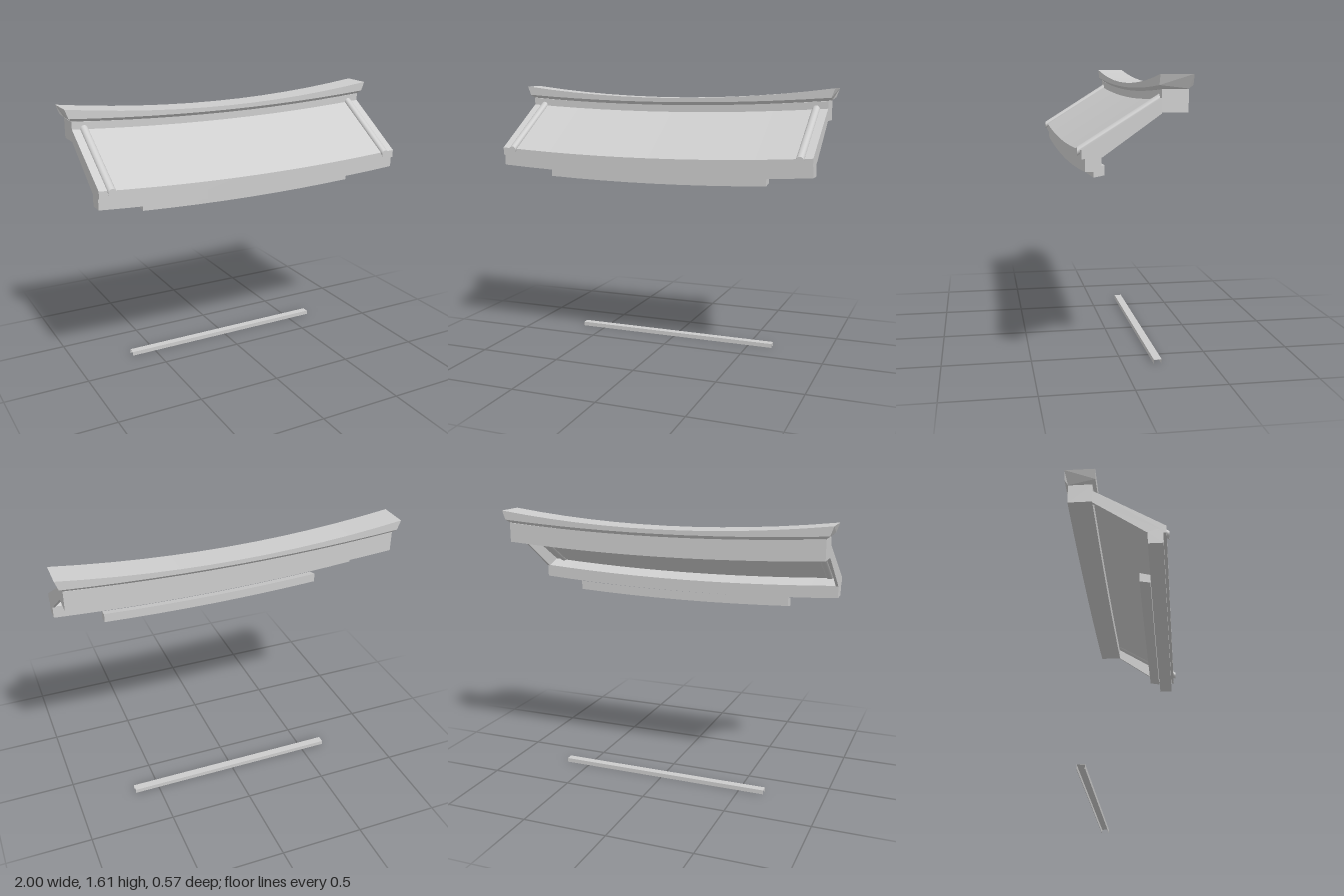
import * as THREE from 'three';

const SAG = 0.036; // rise of the ends, as a multiple of x squared
const SLOPE = 0.625; // pitch of the roof panel
const roofY = z => 1.205 - SLOPE * (z - 0.27);

// Extrudes a [z, y] section from x0 to x1, then bows it upward at the ends
function sweep(section, x0, x1, steps, bend = (x, y) => [x, y + SAG * x * x]) {
  const shape = new THREE.Shape(section.map(([z, y]) => new THREE.Vector2(-z, y)));
  const geo = new THREE.ExtrudeGeometry(shape, { depth: x1 - x0, steps, bevelEnabled: false });
  geo.rotateY(Math.PI / 2).translate(x0, 0, 0);
  const p = geo.attributes.position;
  for (let i = 0; i < p.count; i++) {
    const [x, y] = bend(p.getX(i), p.getY(i));
    p.setXY(i, x, y);
  }
  geo.computeVertexNormals();
  return geo;
}

export function createModel() {
  const group = new THREE.Group();
  const grey = new THREE.MeshStandardMaterial({ color: 0xcccccc });
  grey.name = 'light grey';
  const add = (name, geo) => {
    const mesh = new THREE.Mesh(geo, grey);
    mesh.name = name;
    group.add(mesh);
  };

  // Ridge beam
  add('ridgeBeam', sweep([[-0.13, 1.383], [-0.13, 1.498], [-0.265, 1.498], [-0.265, 1.383]], -0.96, 0.96, 12));

  // Flared cap: wider and more curved towards its top
  add('ridgeCap', sweep(
    [[-0.13, 1.497], [-0.112, 1.515], [-0.112, 1.54], [-0.282, 1.54], [-0.282, 1.515], [-0.265, 1.497]],
    -1, 1, 12,
    (x, y) => {
      const top = y > 1.53, low = y < 1.51;
      return [x * (top ? 1 : low ? 0.96 : 0.98), y + (top ? 0.065 : SAG) * x * x];
    }));

  // Thin sloping roof panel
  add('roofPanel', sweep(
    [[0.27, roofY(0.27)], [-0.13, roofY(-0.13)], [-0.13, roofY(-0.13) - 0.01], [0.27, roofY(0.27) - 0.01]],
    -0.96, 0.96, 12));

  // Eave beam with a projecting lip
  add('eaveBeam', sweep(
    [[0.17, 1.097], [0.253, 1.097], [0.253, 1.16], [0.27, 1.16], [0.27, 1.204], [0.25, 1.195], [0.17, 1.17]],
    -0.96, 0.96, 12));

  // Bar under the eave
  add('lowerBar', sweep([[0.17, 1.045], [0.17, 1.095], [0.11, 1.11], [0.11, 1.056]], -0.68, 0.68, 8));

  for (const side of [1, -1]) {
    // End cheek closing the space below the panel
    const cx = side * 0.9525;
    add('endCheek', sweep(
      [[0.27, 1.204], [-0.13, 1.454], [-0.13, 1.378], [0.165, 1.168], [0.27, 1.165]],
      cx - 0.0075, cx + 0.0075, 1));

    // Sloping roll with upright cut ends
    const roll = new THREE.CylinderGeometry(0.023, 0.023, 0.415, 16);
    roll.rotateX(Math.PI / 2).translate(0, 0, 0.0775);
    const p = roll.attributes.position;
    for (let i = 0; i < p.count; i++) p.setY(i, p.getY(i) + roofY(p.getZ(i)));
    roll.computeVertexNormals();
    roll.translate(side * 0.89, SAG * 0.89 * 0.89, 0);
    add('roofRoll', roll);
  }

  // Ground channel, open below and at its ends
  const T = 0.002;
  const plate = (name, h, d, y, z) => {
    const geo = new THREE.BoxGeometry(1.3, h, d);
    geo.translate(0, y, z);
    add(name, geo);
  };
  plate('channelTop', T, 0.045, 0.024, -0.195);
  plate('channelFront', 0.023, T, 0.0115, -0.1735);
  plate('channelBack', 0.023, T, 0.0115, -0.2165);
  return group;
}
